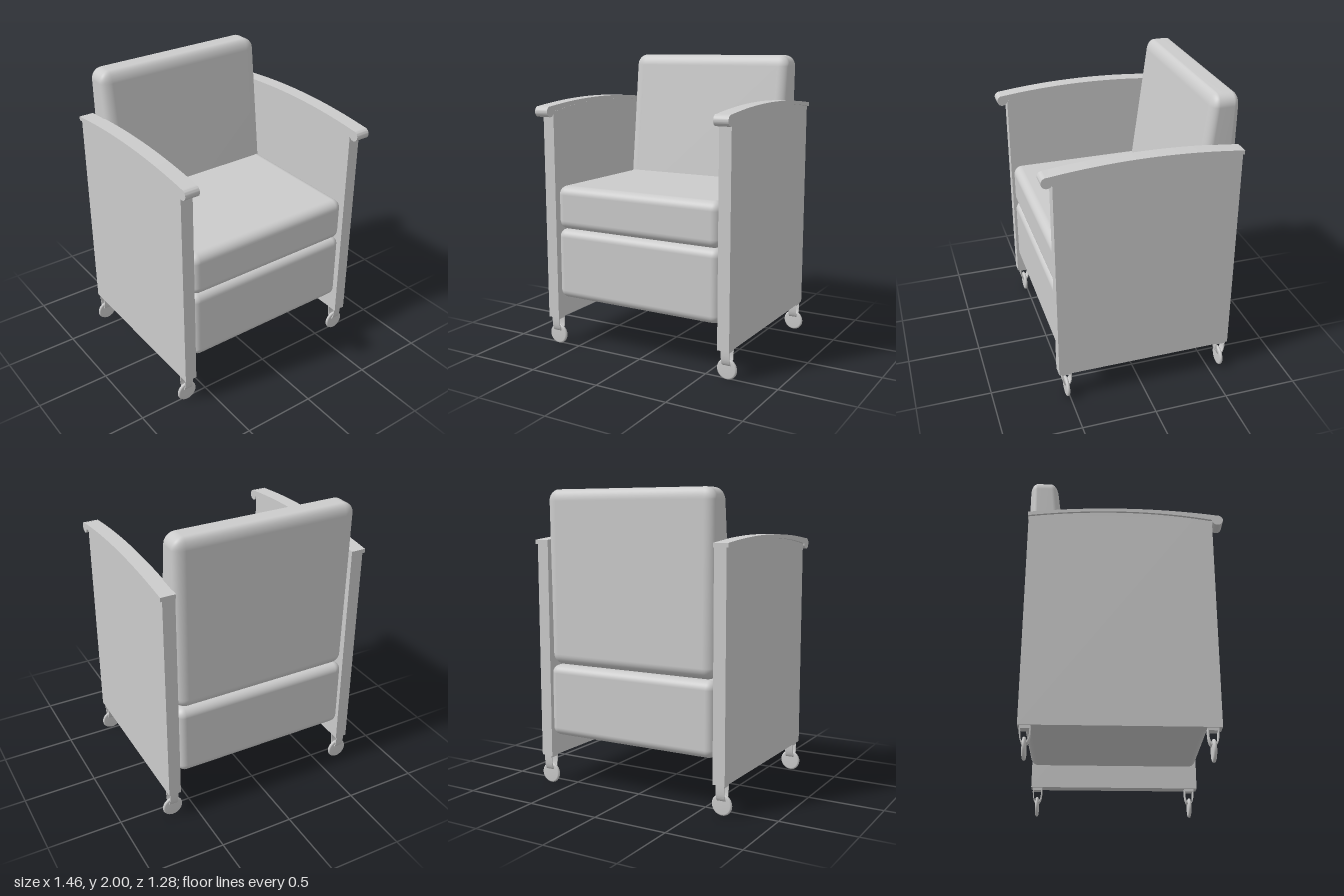
import * as THREE from 'three';
import { RoundedBoxGeometry } from 'three/addons/geometries/RoundedBoxGeometry.js';
import { mergeVertices, toCreasedNormals } from 'three/addons/utils/BufferGeometryUtils.js';

const material = new THREE.MeshStandardMaterial({ color: 0xcccccc });

function add(parent, name, geometry) {
  const mesh = new THREE.Mesh(geometry, material);
  mesh.name = name;
  parent.add(mesh);
  return mesh;
}

// Extrude a side profile (z, y) across x, centred on x = 0
function extrudeAcross(shape, width) {
  const g = new THREE.ExtrudeGeometry(shape, { depth: width, bevelEnabled: false, curveSegments: 20 });
  g.translate(0, 0, -width / 2);
  g.rotateY(-Math.PI / 2);
  return toCreasedNormals(g, 0.6);
}

// Soft block between two heights and two depths
function cushion(y0, y1, z0, z1, radius) {
  const g = new RoundedBoxGeometry(1.235, y1 - y0, z1 - z0, 5, radius);
  g.translate(0, (y0 + y1) / 2, (z0 + z1) / 2);
  return g;
}

// Backrest: soft block whose front leans back towards the top
function backGeometry() {
  const back = -0.635, depth = 0.3;
  let g = cushion(0.84, 2, back, back + depth, 0.075);
  g.deleteAttribute('normal');
  g.deleteAttribute('uv');
  g = mergeVertices(g, 1e-4);
  const p = g.attributes.position;
  for (let i = 0; i < p.count; i++) {
    const thickness = 0.29 - 0.13 * (p.getY(i) - 1.13);
    p.setZ(i, back + (p.getZ(i) - back) * thickness / depth);
  }
  g.computeVertexNormals();
  return g;
}

// Side panel with an arched top
function panelGeometry() {
  const s = new THREE.Shape();
  s.moveTo(-0.63, 0.205);
  s.lineTo(0.57, 0.205);
  s.lineTo(0.57, 1.635);
  s.quadraticCurveTo(0, 1.734, -0.63, 1.645);
  s.closePath();
  return extrudeAcross(s, 0.083);
}

// Arched arm rail with a round nose in front
function armGeometry() {
  const s = new THREE.Shape();
  s.moveTo(-0.635, 1.672);
  s.quadraticCurveTo(0, 1.75, 0.605, 1.672);
  s.absarc(0.605, 1.637, 0.036, Math.PI / 2, -Math.PI, true);
  s.quadraticCurveTo(0, 1.734, -0.635, 1.645);
  s.closePath();
  return extrudeAcross(s, 0.1);
}

// Fork: curved strap narrowing down around the wheel
function forkGeometry() {
  const s = new THREE.Shape();
  s.moveTo(-0.034, 0.205);
  s.bezierCurveTo(-0.034, 0.14, -0.028, 0.115, -0.014, 0.1);
  s.lineTo(0.014, 0.1);
  s.bezierCurveTo(0.028, 0.115, 0.034, 0.14, 0.034, 0.205);
  s.closePath();
  const hole = new THREE.Path();
  hole.moveTo(-0.027, 0.188);
  hole.lineTo(0.027, 0.188);
  hole.bezierCurveTo(0.027, 0.14, 0.022, 0.12, 0.01, 0.108);
  hole.lineTo(-0.01, 0.108);
  hole.bezierCurveTo(-0.022, 0.12, -0.027, 0.14, -0.027, 0.188);
  s.holes.push(hole);
  return extrudeAcross(s, 0.058);
}

// Thin wheel with a rounded rim, facing front and back
function wheelGeometry() {
  const profile = [[0, -0.011], [0.058, -0.011], [0.066, -0.008], [0.07, 0],
    [0.066, 0.008], [0.058, 0.011], [0, 0.011]].map(([r, h]) => new THREE.Vector2(r, h));
  const g = new THREE.LatheGeometry(profile, 32);
  g.rotateX(Math.PI / 2);
  return g.translate(0, 0.072, 0);
}

export function createModel() {
  const model = new THREE.Group();
  model.name = 'armchair';

  // Upholstery
  add(model, 'base', cushion(0.355, 0.838, -0.635, 0.56, 0.055));
  add(model, 'seatCushion', cushion(0.838, 1.135, -0.42, 0.56, 0.06));
  add(model, 'backrest', backGeometry());

  // Sides, arm rails and casters, mirrored
  const panel = panelGeometry(), arm = armGeometry();
  const fork = forkGeometry(), wheel = wheelGeometry();
  for (const [side, sign] of [['left', 1], ['right', -1]]) {
    add(model, side + 'Panel', panel).position.x = sign * 0.658;
    add(model, side + 'ArmRail', arm).position.x = sign * 0.663;
    for (const [end, z] of [['Front', 0.515], ['Back', -0.585]]) {
      const caster = new THREE.Group();
      caster.name = side + end + 'Caster';
      caster.position.set(sign * 0.66, 0, z);
      add(caster, 'fork', fork);
      add(caster, 'wheel', wheel);
      model.add(caster);
    }
  }
  return model;
}
